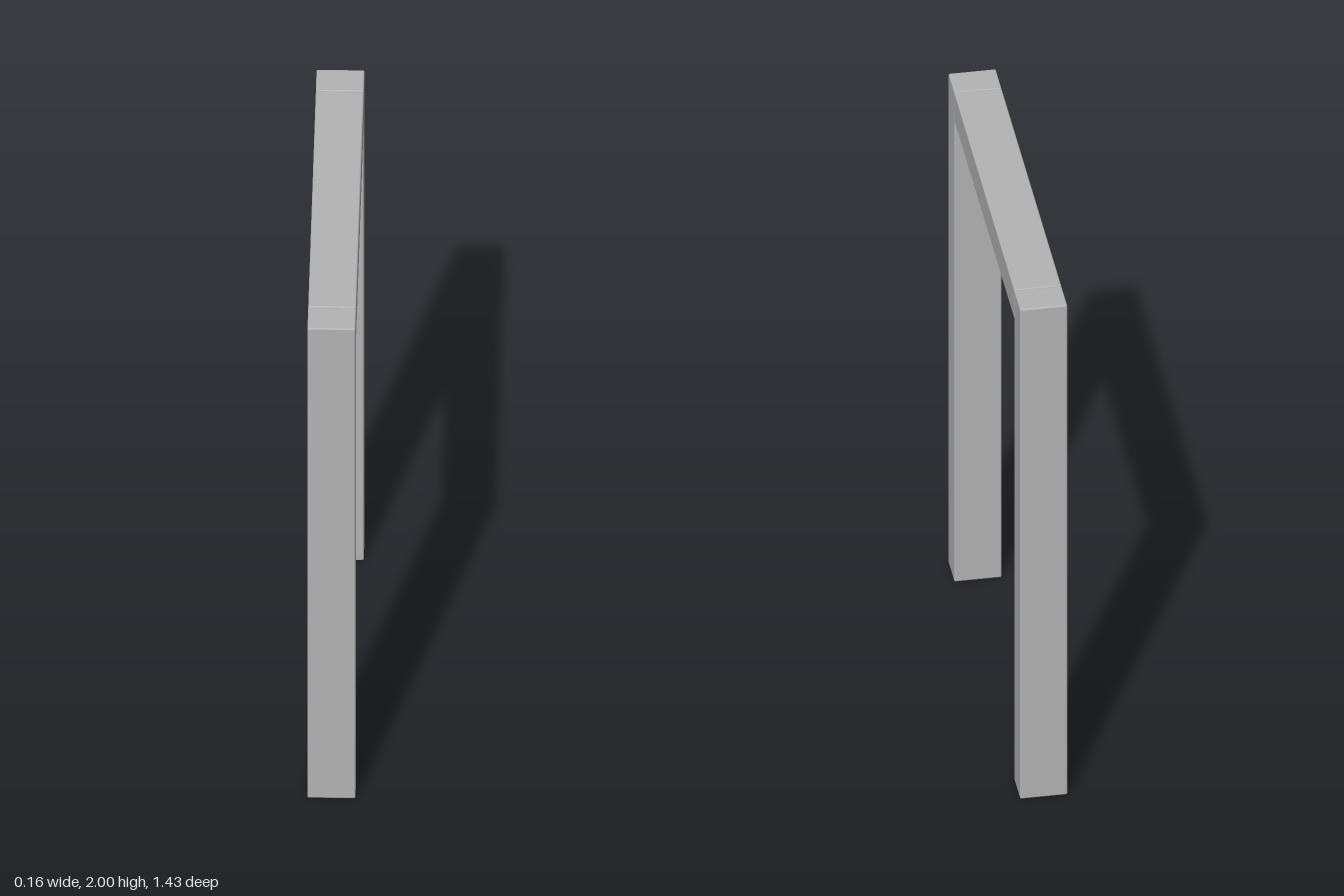
import * as THREE from 'three';
import { RoundedBoxGeometry } from 'three/addons/geometries/RoundedBoxGeometry.js';

export function createModel() {
  const model = new THREE.Group();
  model.name = 'postFrame';

  const gray = new THREE.MeshStandardMaterial({ color: 0xb4b4b4 });
  gray.name = 'gray';

  const width = 0.162;
  const thickness = 0.118;
  const height = 2;
  const depth = 1.426;
  const bevel = 0.006;

  // Softly bevelled bar
  const addBar = (name, h, d, y, z) => {
    const bar = new THREE.Mesh(new RoundedBoxGeometry(width, h, d, 2, bevel), gray);
    bar.name = name;
    bar.position.set(0, y, z);
    model.add(bar);
  };

  // Two upright posts
  const postZ = (depth - thickness) / 2;
  addBar('frontPost', height, thickness, height / 2, postZ);
  addBar('backPost', height, thickness, height / 2, -postZ);

  // Crossbar fitted between the posts, flush with their tops
  const span = depth - 2 * thickness - 0.004;
  addBar('crossbar', thickness, span, height - thickness / 2, 0);

  return model;
}
